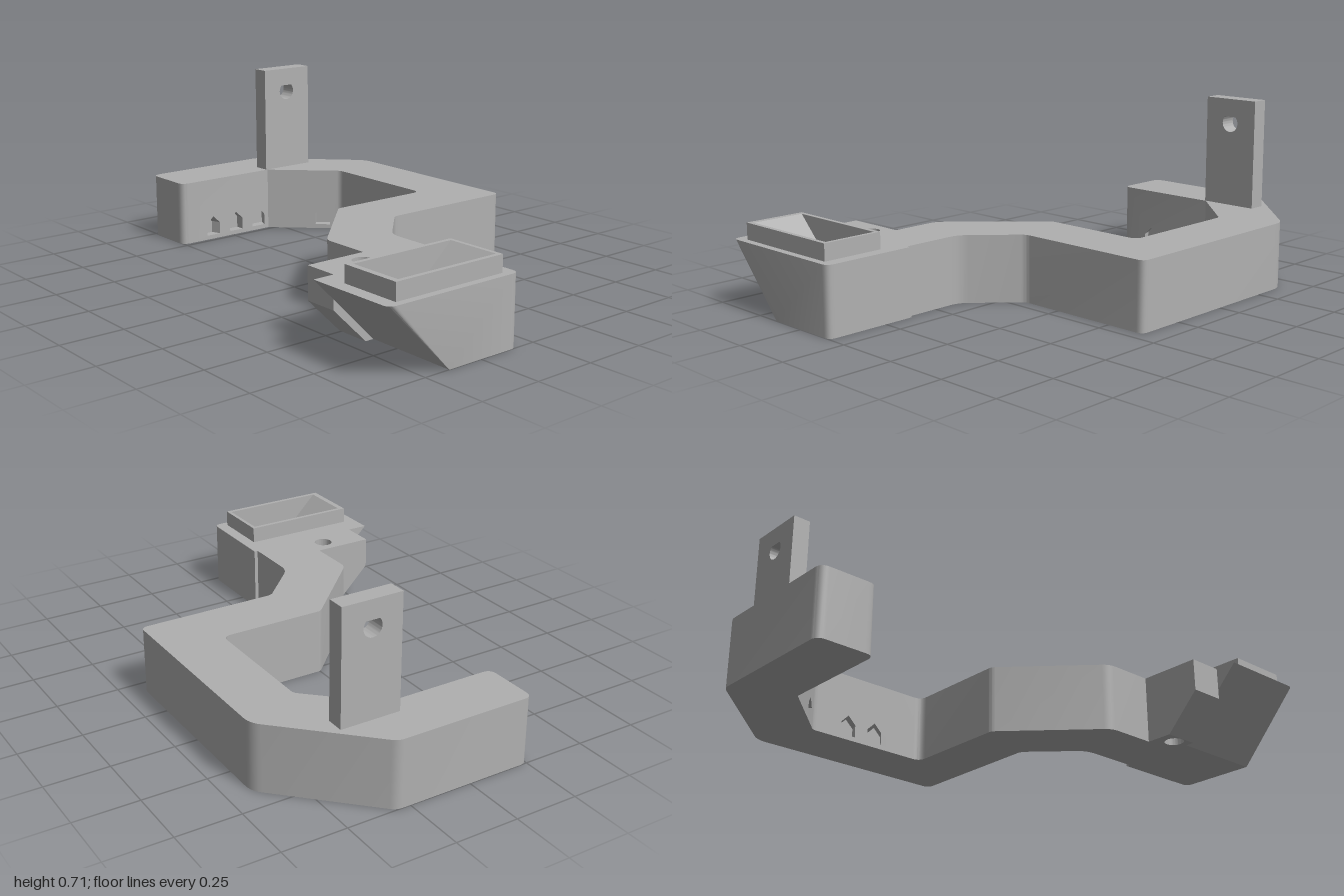
import * as THREE from 'three';
import { toCreasedNormals } from 'three/addons/utils/BufferGeometryUtils.js';

const H = 0.265; // height of the main track
const V = (x, y, z) => new THREE.Vector3(x, y, z);
const plan = (pts, s) => pts.map(([x, z]) => new THREE.Vector2(x, s * z));

// Collects polygons and geometries into one surface
class Skin {
  constructor() { this.pos = []; }
  poly(...p) {
    for (let i = 1; i < p.length - 1; i++) for (const v of [p[0], p[i], p[i + 1]]) this.pos.push(v.x, v.y, v.z);
  }
  add(geo) {
    for (const n of geo.toNonIndexed().attributes.position.array) this.pos.push(n);
  }
  build() {
    const g = new THREE.BufferGeometry();
    g.setAttribute('position', new THREE.Float32BufferAttribute(this.pos, 3));
    return toCreasedNormals(g, 0.5);
  }
}

// Rounds the corners of a plan outline given as [x, z, radius]
function rounded(pts) {
  const out = [];
  pts.forEach(([x, z, r = 0], i) => {
    if (!r) return out.push([x, z]);
    const c = new THREE.Vector2(x, z);
    const toward = (q) => new THREE.Vector2(q[0], q[1]).sub(c).setLength(r).add(c);
    const a = toward(pts[(i + pts.length - 1) % pts.length]);
    const b = toward(pts[(i + 1) % pts.length]);
    new THREE.QuadraticBezierCurve(a, c, b).getPoints(6).forEach((p) => out.push([p.x, p.y]));
  });
  return out;
}

function flatShape(pts, hole) {
  const s = new THREE.Shape(pts);
  if (hole) s.holes.push(new THREE.Path(hole));
  return new THREE.ShapeGeometry(s);
}

// Upright prism; low() moves the bottom outline, hole opens the top, pockets are [x, z, lean]
function prism(outline, y0, y1, { low = (p) => p, hole, pockets = [] } = {}) {
  const skin = new Skin();
  const pts = [...outline];
  if (THREE.ShapeUtils.area(plan(pts, -1)) < 0) pts.reverse();
  skin.add(flatShape(plan(pts, -1), hole && plan(hole, -1)).rotateX(-Math.PI / 2).translate(0, y1, 0));
  const base = pts.map(low).filter((p, i, a) => {
    const q = a[(i + 1) % a.length];
    return Math.hypot(p[0] - q[0], p[1] - q[1]) > 1e-5;
  });
  skin.add(flatShape(plan(base, 1)).rotateX(Math.PI / 2).translate(0, y0, 0));
  pts.forEach((a, i) => {
    const b = pts[(i + 1) % pts.length];
    const u = V(b[0] - a[0], 0, b[1] - a[1]);
    const len = u.length();
    u.normalize();
    const n = V(0, 0, 0).crossVectors(u, V(0, 1, 0));
    const here = pockets.map(([x, z, lean]) => {
      const d = V(x - a[0], 0, z - a[1]);
      return { s: d.dot(u), off: Math.abs(d.dot(n)), lean };
    }).filter((p) => p.off < 0.012 && p.s > 0.036 && p.s < len - 0.036);
    if (!here.length) {
      const a0 = low(a), b0 = low(b);
      skin.poly(V(a0[0], y0, a0[1]), V(b0[0], y0, b0[1]), V(b[0], y1, b[1]), V(a[0], y1, a[1]));
      return;
    }
    // Wall with gabled pockets
    const m = new THREE.Matrix4().makeBasis(u, V(0, 1, 0), n).setPosition(a[0], 0, a[1]);
    const wall = new THREE.Shape([[0, y0], [len, y0], [len, y1], [0, y1]].map((p) => new THREE.Vector2(...p)));
    for (const { s, lean } of here) {
      const gable = [[-0.033, 0.018], [0.033, 0.018], [0.033, 0.068], [0, 0.1], [-0.033, 0.068]];
      wall.holes.push(new THREE.Path(gable.map(([x, y]) => new THREE.Vector2(s + x, y))));
      const front = gable.map(([x, y]) => V(s + x, y, 0).applyMatrix4(m));
      const back = gable.map(([x, y]) => V(s + x + lean, y, -0.04).applyMatrix4(m));
      front.forEach((p, k) => {
        const j = (k + 1) % front.length;
        skin.poly(p, front[j], back[j], back[k]);
      });
      skin.poly(...back);
    }
    skin.add(new THREE.ShapeGeometry(wall).applyMatrix4(m));
  });
  return skin.build();
}

const rect = (x0, x1, z0, z1) => [[x0, z0], [x1, z0], [x1, z1], [x0, z1]];

export function createModel() {
  const group = new THREE.Group();
  const grey = new THREE.MeshStandardMaterial({ color: 0xb0b0b0 });
  grey.name = 'grey';
  const part = (name, geo) => {
    const mesh = new THREE.Mesh(geo, grey);
    mesh.name = name;
    group.add(mesh);
  };

  // Winding track with a row of pockets along its inner wall
  const track = rounded([
    [-1, 0.255, 0.035], [-1, -0.305, 0.025], [-0.645, -0.66, 0.04], [0.2, -0.66, 0.03],
    [0.2, -0.085, 0.02], [0.385, 0.095, 0.04], [0.63, 0.095], [0.63, 0.325], [0.29, 0.325, 0.03],
    [-0.033, 0.003, 0.015], [-0.033, -0.43, 0.035], [-0.545, -0.43, 0.015], [-0.77, -0.195], [-0.77, 0.255, 0.035],
  ]);
  const pockets = [
    [-0.77, 0.1, -0.015], [-0.77, -0.02, 0], [-0.77, -0.14, 0.015],
    [-0.6, -0.373, 0], [-0.508, -0.43, 0], [-0.385, -0.43, 0.015], [-0.26, -0.43, 0.025],
  ];
  part('track', prism(track, 0, H, { pockets }));

  // End block with a sloping front
  const well = rect(0.742, 0.955, 0.145, 0.58);
  const block = rounded([[0.63, 0.08], [1, 0.08, 0.03], [1, 0.655, 0.03], [0.63, 0.655]]);
  const slope = (p) => (p[1] > 0.395 ? [p[0] > 0.9 ? 1 : p[0], 0.395] : p);
  part('endBlock', prism(block, 0, H, { low: slope, hole: well }));

  // Raised collar round the well
  part('wellCollar', prism(rect(0.725, 0.972, 0.13, 0.603), H, 0.33, { hole: well }));

  // V-shaped well
  const v = new Skin();
  const [xa, xb, za, zb, zm, yt, yb] = [0.742, 0.955, 0.145, 0.58, 0.375, 0.33, 0.125];
  v.poly(V(xa, yt, za), V(xa, yb, zm), V(xb, yb, zm), V(xb, yt, za));
  v.poly(V(xa, yb, zm), V(xa, yt, zb), V(xb, yt, zb), V(xb, yb, zm));
  v.poly(V(xa, yt, za), V(xa, yt, zb), V(xa, yb, zm));
  v.poly(V(xb, yt, za), V(xb, yb, zm), V(xb, yt, zb));
  part('well', v.build());

  // Side tab: drilled root and chamfered nose
  const root = new THREE.Shape(plan(rect(0.492, 0.63, 0.325, 0.43), -1));
  root.holes.push(new THREE.Path().absarc(0.565, -0.39, 0.037, 0, Math.PI * 2));
  part('tabRoot', toCreasedNormals(
    new THREE.ExtrudeGeometry(root, { depth: H, bevelEnabled: false, curveSegments: 24 }).rotateX(-Math.PI / 2), 0.5));
  const nose = new THREE.Shape(plan([[0.43, 0], [0.57, 0.14], [0.57, H], [0.43, H]], 1)
    .map((p) => new THREE.Vector2(-p.x, p.y)));
  part('tabNose', new THREE.ExtrudeGeometry(nose, { depth: 0.138, bevelEnabled: false })
    .rotateY(Math.PI / 2).translate(0.492, 0, 0));

  // Upright post with a teardrop hole
  const post = new THREE.Shape([[0.19, H], [0.428, H], [0.428, 0.708], [0.19, 0.708]].map((p) => new THREE.Vector2(...p)));
  const drop = new THREE.Path();
  drop.moveTo(0.307, 0.66);
  drop.absarc(0.307, 0.608, 0.037, Math.PI * 0.75, Math.PI * 2.25, false);
  drop.closePath();
  post.holes.push(drop);
  part('post', toCreasedNormals(
    new THREE.ExtrudeGeometry(post, { depth: 0.07, bevelEnabled: false, curveSegments: 24 })
      .rotateY(Math.PI / 2).translate(-0.843, 0, 0), 0.5));

  return group;
}
